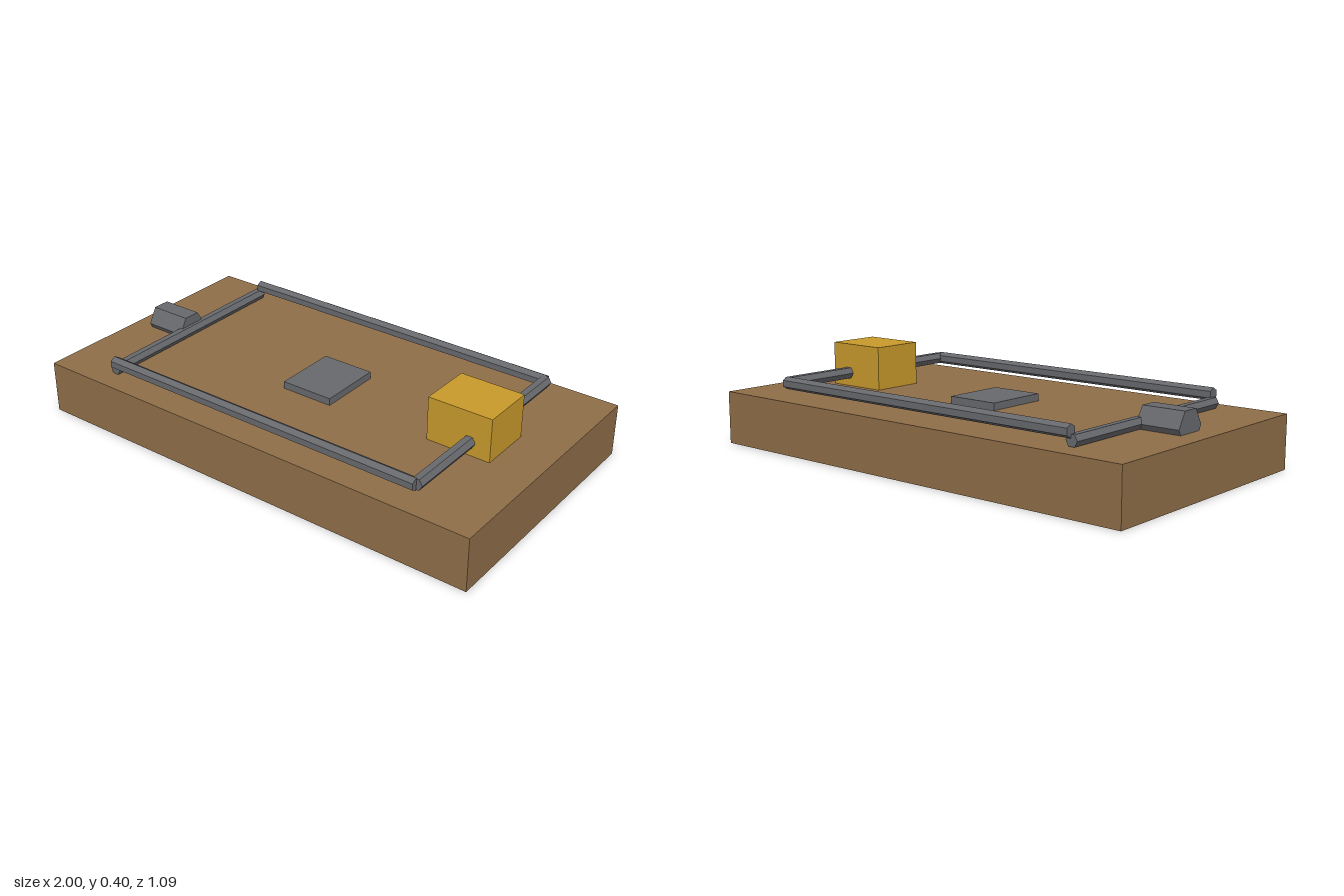
import * as THREE from 'three';

export function createModel() {
  const group = new THREE.Group();
  const material = (name, color) => {
    const m = new THREE.MeshStandardMaterial({ color, flatShading: true });
    m.name = name;
    return m;
  };
  const wood = material('wood', 0x8f6e48);
  const metal = material('metal', 0x68696d);
  const cheese = material('cheese yellow', 0xc99a2c);

  const add = (name, geometry, mat, x, y, z) => {
    const mesh = new THREE.Mesh(geometry, mat);
    mesh.name = name;
    mesh.position.set(x, y, z);
    group.add(mesh);
    return mesh;
  };
  const box = (name, mat, w, h, d, x, y, z) =>
    add(name, new THREE.BoxGeometry(w, h, d), mat, x, y, z);

  // Six-sided rod along x (corners up and down) or along z (corners sideways)
  const hexRod = (r, length, axis) => {
    const g = new THREE.CylinderGeometry(r, r, length, 6);
    if (axis === 'x') return g.rotateY(Math.PI / 6).rotateZ(Math.PI / 2);
    return g.rotateY(Math.PI / 6).rotateX(Math.PI / 2);
  };

  // Wooden board, trigger plate and bait
  box('board', wood, 2, 0.22, 1.09, 0, 0.11, 0);
  box('triggerPlate', metal, 0.226, 0.032, 0.272, -0.002, 0.234, -0.003);
  box('cheeseBlock', cheese, 0.27, 0.182, 0.226, 0.68, 0.309, -0.002);

  // Wire frame: two long rods, a low hinge rod and a raised striker rod
  for (const side of [-1, 1]) {
    add(side > 0 ? 'frontRod' : 'backRod', hexRod(0.026, 1.455, 'x'), metal,
      0, 0.276, side * 0.456);
  }
  add('hingeRod', hexRod(0.025, 0.91, 'z'), metal, -0.729, 0.243, 0);
  add('strikerRod', hexRod(0.026, 0.91, 'z'), metal, 0.726, 0.276, 0);

  // Spring housing, sunk partly into the board, with its flat side up
  const spring = new THREE.CylinderGeometry(0.073, 0.073, 0.18, 6).rotateZ(Math.PI / 2);
  add('springHousing', spring, metal, -0.82, 0.242, -0.002);

  return group;
}
